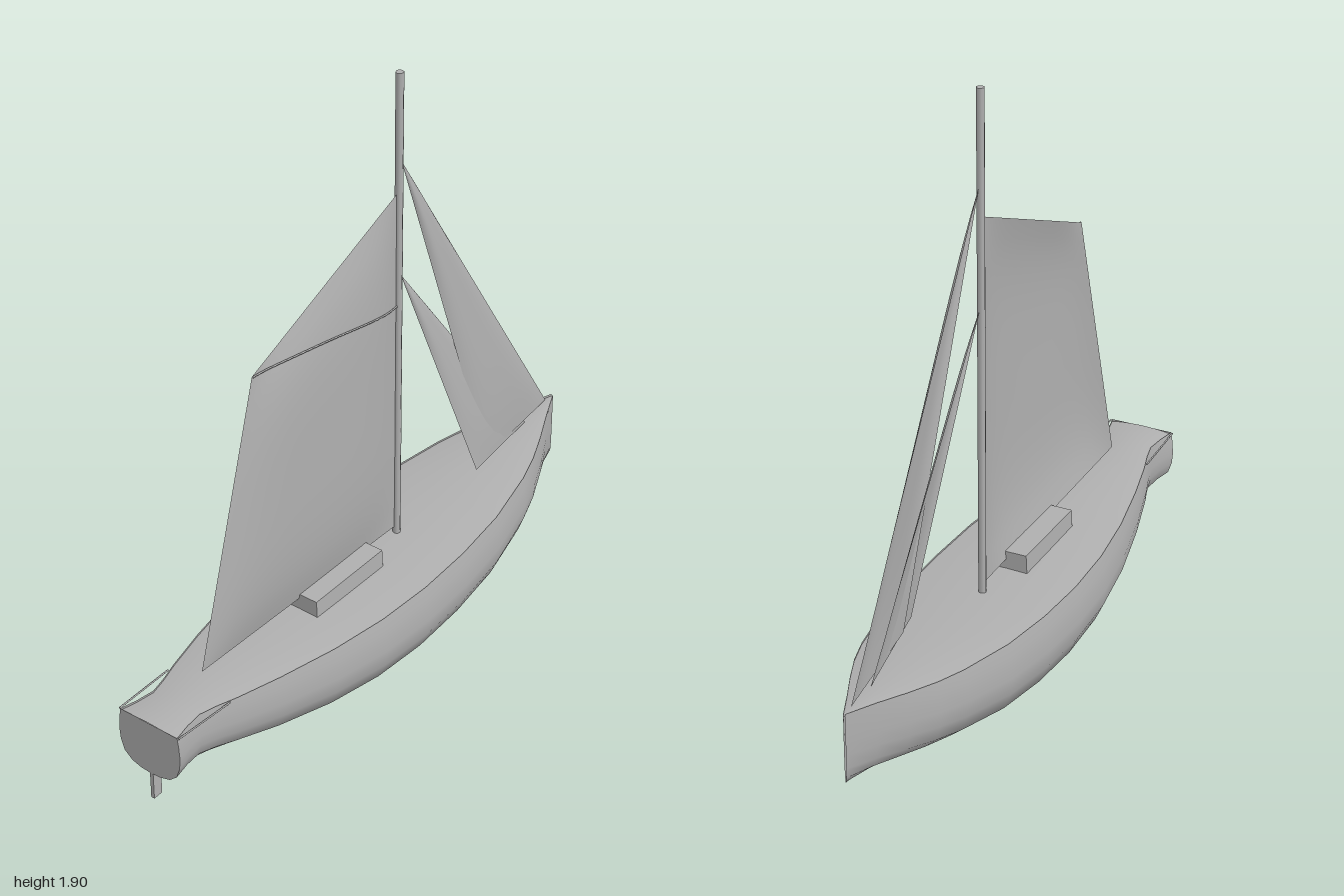
import * as THREE from 'three';

const V = (x, y, z) => new THREE.Vector3(x, y, z);

// Smooth surface through rows of points
function loft(rows) {
  const n = rows[0].length, index = [];
  for (let i = 0; i < rows.length - 1; i++) {
    for (let j = 0; j < n - 1; j++) {
      const a = i * n + j, b = a + n;
      index.push(a, b, a + 1, a + 1, b, b + 1);
    }
  }
  const g = new THREE.BufferGeometry().setFromPoints(rows.flat());
  g.setIndex(index);
  g.computeVertexNormals();
  return g;
}

// Four-cornered cloth (bottom fore, bottom aft, top aft, top fore) swelling towards +x
function sailPoint(c, u, v, belly) {
  const p = c[0].clone().lerp(c[1], u).lerp(c[3].clone().lerp(c[2], u), v);
  p.x += belly * (1 - Math.pow(2 * u - 1, 4)) * (1 - Math.pow(2 * v - 1, 4));
  return p;
}
function sail(c, belly, n = 16) {
  const rows = [];
  for (let i = 0; i <= n; i++) {
    const row = [];
    for (let j = 0; j <= n; j++) row.push(sailPoint(c, j / n, i / n, belly));
    rows.push(row);
  }
  return loft(rows);
}

export function createModel() {
  const model = new THREE.Group();
  const grey = new THREE.MeshStandardMaterial({ color: 0xb0b0b0, side: THREE.DoubleSide });
  grey.name = 'plain grey';
  const add = (name, geometry, x = 0, y = 0, z = 0) => {
    const m = new THREE.Mesh(geometry, grey);
    m.name = name;
    m.position.set(x, y, z);
    model.add(m);
    return m;
  };

  // Hull stations, bow to stern: z, half width, keel height, rail height
  const stations = [
    [-1, 0.003, 0.13, 0.355], [-0.9, 0.05, 0.118, 0.347], [-0.8, 0.1, 0.1, 0.337],
    [-0.7, 0.145, 0.08, 0.328], [-0.6, 0.178, 0.06, 0.32], [-0.4, 0.222, 0.027, 0.306],
    [-0.2, 0.242, 0.008, 0.296], [0, 0.248, 0, 0.291], [0.2, 0.24, 0.008, 0.293],
    [0.4, 0.213, 0.03, 0.297], [0.6, 0.17, 0.065, 0.303], [0.75, 0.13, 0.1, 0.308],
    [0.82, 0.107, 0.115, 0.311], [0.88, 0.092, 0.125, 0.313], [0.94, 0.1, 0.13, 0.315],
    [1, 0.114, 0.13, 0.317],
  ];
  // Half cross-section from rail to keel, as fractions of width and depth
  const half = [[0.93, 1], [0.97, 0.84], [1, 0.6], [0.97, 0.4], [0.86, 0.2], [0.62, 0.07], [0.32, 0.015]];
  const section = [...half, [0, 0], ...half.map(([x, y]) => [-x, y]).reverse()];
  const rings = stations.map(([z, w, lo, hi]) =>
    section.map(([x, y]) => V(x * w, lo + (hi - lo) * y, z)));
  add('hull', loft(rings));

  // Cambered deck just below the rail
  add('deck', loft(stations.map(([z, w, , hi]) =>
    [-1, -0.75, -0.4, 0, 0.4, 0.75, 1].map(t =>
      V(t * 0.935 * w, hi - 0.008 + 0.014 * (1 - t * t) * Math.min(1, w * 6), z)))));

  // Flat stern panel
  const edge = rings[rings.length - 1].map(p => p.clone());
  edge.push(edge[0].clone());
  add('transom', loft([edge, edge.map(() => V(0, 0.225, 1))]));

  // Slim rails bridging the pinched stern
  for (const s of [1, -1]) {
    const line = new THREE.LineCurve3(V(s * 0.117, 0.307, 0.78), V(s * 0.11, 0.315, 0.998));
    add(s > 0 ? 'leftSternRail' : 'rightSternRail', new THREE.TubeGeometry(line, 1, 0.003, 5));
  }

  // Rudder
  add('rudder', new THREE.BoxGeometry(0.012, 0.1, 0.034), 0, 0.085, 0.981);

  // Cabin with narrowed roof
  const cabin = new THREE.BoxGeometry(0.14, 0.075, 0.32).toNonIndexed();
  const p = cabin.attributes.position;
  for (let i = 0; i < p.count; i++) if (p.getY(i) > 0) p.setX(i, p.getX(i) * 0.95);
  cabin.computeVertexNormals();
  add('cabin', cabin, 0, 0.3175, 0.16);

  // Mast
  add('mast', new THREE.CylinderGeometry(0.0125, 0.0125, 1.61, 8), 0, 1.095, -0.16);

  // Mainsail and the thin line across its lee side
  const main = [V(0, 0.325, -0.15), V(0, 0.35, 0.765), V(0, 1.235, 0.51), V(0, 1.51, -0.15)];
  add('mainsail', sail(main, 0.035));
  const path = [];
  for (let i = 0; i <= 12; i++) {
    const t = i / 12;
    const q = sailPoint(main, t, 0.68 + 0.32 * t, 0.035);
    path.push(V(q.x + 0.003, q.y, q.z));
  }
  add('sailLine', new THREE.TubeGeometry(new THREE.CatmullRomCurve3(path), 24, 0.003, 5));

  // Triangular headsails
  const head = V(0, 1.61, -0.17), stayHead = V(0, 1.23, -0.17);
  add('jib', sail([V(0, 0.355, -0.96), V(0.045, 0.37, -0.57), head, head], 0.015));
  add('staysail', sail([V(0.01, 0.343, -0.83), V(0.063, 0.372, -0.49), stayHead, stayHead], 0.012));

  return model;
}
